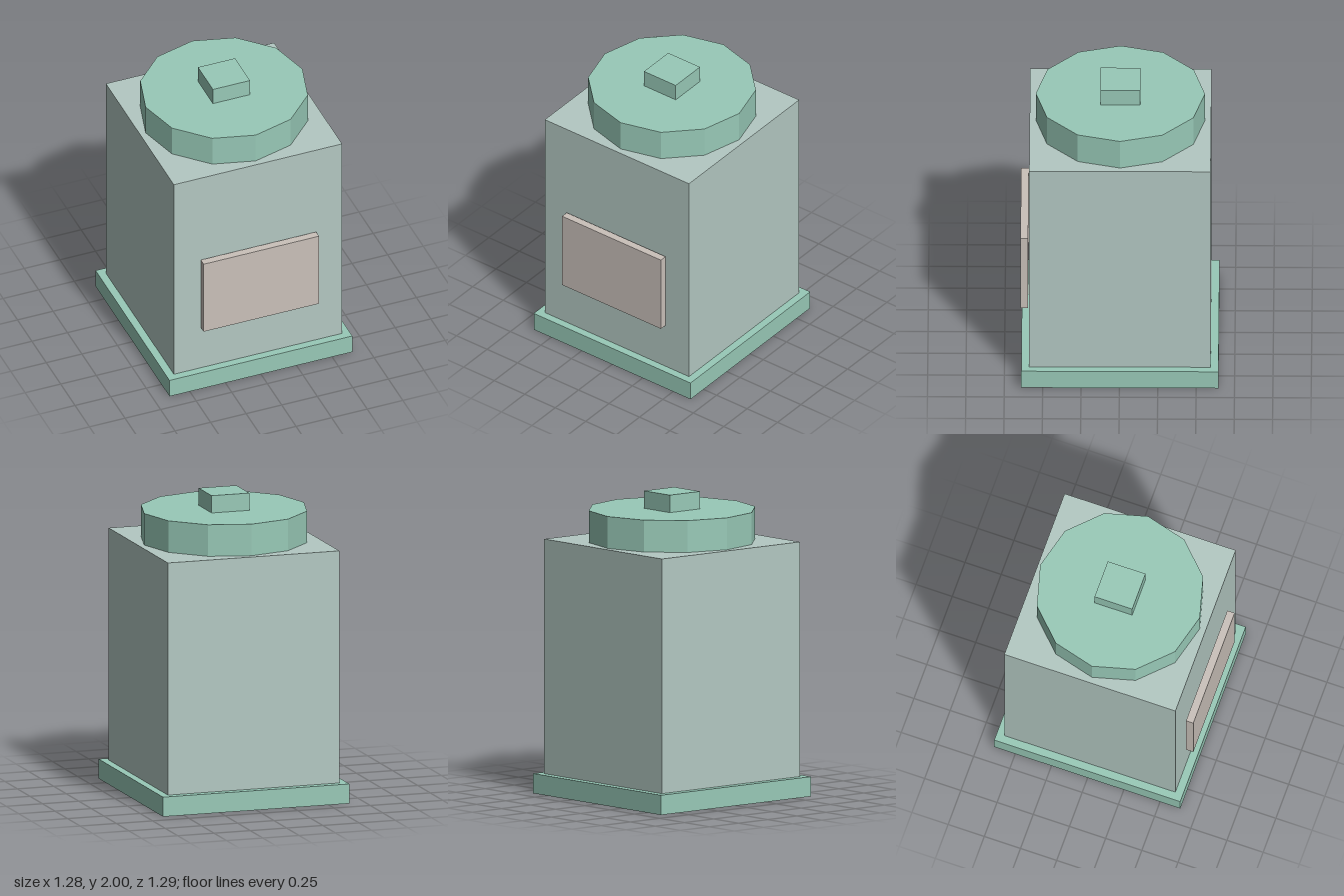
import * as THREE from 'three';

export function createModel() {
  const group = new THREE.Group();
  group.name = 'canister';

  const mat = (name, color) => {
    const m = new THREE.MeshStandardMaterial({ color });
    m.name = name;
    return m;
  };
  const teal = mat('teal', 0x98c9b7);
  const paleGrey = mat('paleGreyGreen', 0xb3c8c2);
  const beige = mat('beige', 0xcac1ba);

  const add = (name, geometry, material, y, z) => {
    const mesh = new THREE.Mesh(geometry, material);
    mesh.name = name;
    mesh.position.set(0, y, z);
    group.add(mesh);
  };
  const box = (name, material, w, d, y0, y1, z) =>
    add(name, new THREE.BoxGeometry(w, y1 - y0, d), material, (y0 + y1) / 2, z);

  const axisZ = -0.003; // the front plate sticks out slightly past the base

  // Square foot and body
  box('base', teal, 1.285, 1.285, 0, 0.13, axisZ);
  box('body', paleGrey, 1.182, 1.182, 0.13, 1.675, axisZ);

  // Twelve-sided faceted lid with a square knob
  const lid = new THREE.CylinderGeometry(0.551, 0.551, 0.21, 12).toNonIndexed();
  lid.computeVertexNormals();
  add('lid', lid, teal, 1.78, axisZ);
  box('knob', teal, 0.26, 0.26, 1.885, 2, axisZ);

  // Blank label plate, standing just clear of the body front
  box('labelPlate', beige, 0.81, 0.05, 0.465, 1.015, 0.621);

  return group;
}
